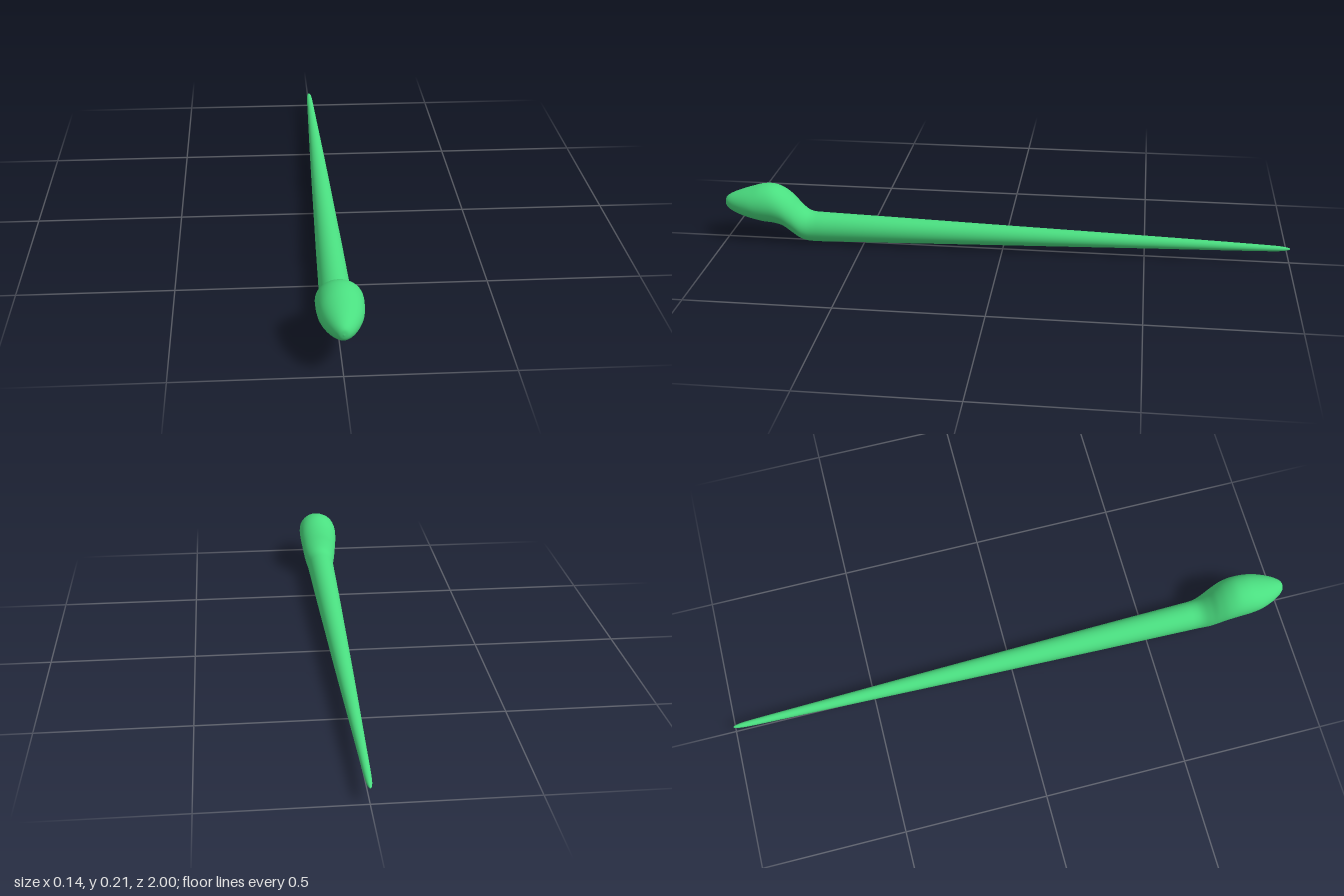
import * as THREE from 'three';

// Cross-sections from nose to tail tip: z, centre height, half width, half height
const SECTIONS = [
  [1.0, 0.141, 0, 0], [0.995, 0.141, 0.017, 0.018], [0.975, 0.141, 0.035, 0.032],
  [0.94, 0.141, 0.053, 0.046], [0.9, 0.142, 0.066, 0.058], [0.86, 0.143, 0.071, 0.068],
  [0.82, 0.141, 0.072, 0.07], [0.785, 0.128, 0.07, 0.068], [0.755, 0.104, 0.065, 0.068],
  [0.73, 0.08, 0.06, 0.064], [0.705, 0.064, 0.054, 0.058], [0.68, 0.058, 0.051, 0.0545],
  [0.64, 0.057, 0.05, 0.0535], [0.55, 0.057, 0.048, 0.051], [0.35, 0.057, 0.044, 0.0455],
  [0.1, 0.057, 0.038, 0.0385], [-0.2, 0.057, 0.031, 0.0305], [-0.5, 0.057, 0.023, 0.0225],
  [-0.75, 0.0565, 0.016, 0.016], [-0.9, 0.056, 0.012, 0.0115], [-0.96, 0.056, 0.0095, 0.009],
  [-0.985, 0.056, 0.0065, 0.006], [-0.997, 0.056, 0.003, 0.003], [-1.0, 0.056, 0, 0],
];

// Smooth skin of elliptical rings following the interpolated sections
function loft(sections, rings, sides) {
  const spine = new THREE.CatmullRomCurve3(
    sections.map(([z, y]) => new THREE.Vector3(0, y, z)), false, 'catmullrom', 0.5);
  const radii = new THREE.CatmullRomCurve3(
    sections.map(([, , rx, ry]) => new THREE.Vector3(rx, ry, 0)), false, 'catmullrom', 0.5);
  const positions = [];
  const index = [];
  for (let i = 0; i <= rings; i++) {
    const c = spine.getPoint(i / rings);
    const r = radii.getPoint(i / rings);
    for (let j = 0; j < sides; j++) {
      const a = (j / sides) * Math.PI * 2;
      positions.push(r.x * Math.cos(a), c.y + r.y * Math.sin(a), c.z);
      if (i === rings) continue;
      const k = (j + 1) % sides;
      const p = i * sides + j, q = i * sides + k;
      index.push(p, p + sides, q, q, p + sides, q + sides);
    }
  }
  const geometry = new THREE.BufferGeometry();
  geometry.setAttribute('position', new THREE.Float32BufferAttribute(positions, 3));
  geometry.setIndex(index);
  geometry.computeVertexNormals();
  return geometry;
}

export function createModel() {
  const model = new THREE.Group();
  model.name = 'snake';

  // One continuous skin: raised head, bent neck and tapering body
  const material = new THREE.MeshStandardMaterial({ color: 0x4ade80 });
  const body = new THREE.Mesh(loft(SECTIONS, (SECTIONS.length - 1) * 6, 40), material);
  body.name = 'headAndBody';
  model.add(body);

  return model;
}
